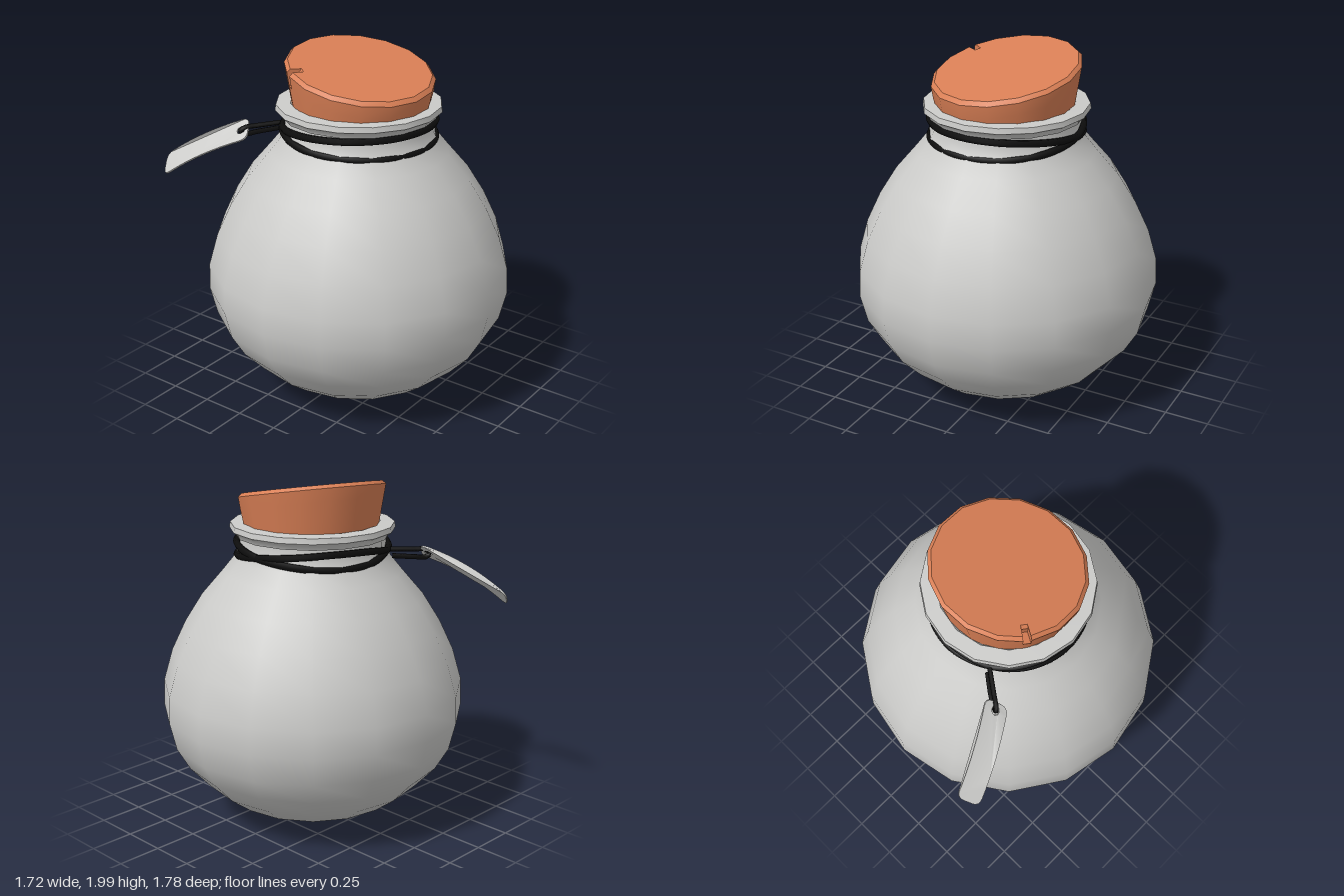
import * as THREE from 'three';
import { toCreasedNormals } from 'three/addons/utils/BufferGeometryUtils.js';

const CENTRE_Z = 0.04;

function material(name, color) {
  const m = new THREE.MeshStandardMaterial({ color });
  m.name = name;
  return m;
}

function part(name, geometry, mat) {
  const mesh = new THREE.Mesh(geometry, mat);
  mesh.name = name;
  return mesh;
}

// Turned part with sixteen sides around the jar's axis
function turned(profile) {
  const points = profile.map(([r, y]) => new THREE.Vector2(r, y));
  return toCreasedNormals(new THREE.LatheGeometry(points, 16).translate(0, 0, CENTRE_Z), 0.75);
}

// Tapered stopper with a sloping top and a small notch in its edge
function stopperGeometry() {
  const columns = [];
  for (let k = 0; k < 16; k++) {
    const deg = 8.5 + k * 22.5;
    if (k === 9) {
      columns.push([209.5, false], [209.5, true], [215.5, true], [215.5, false]);
    } else columns.push([deg, false]);
  }
  const slope = (x, z) => 1.91 + 0.07 * x - 0.2 * z;
  // radius, depth below the sloping top (null = flat base), notch cut in
  const rings = [
    [0, null, false], [0.355, null, false], [0.398, 0.09, false], [0.398, 0.09, true],
    [0.409, 0.02, true], [0.39, 0, true], [0, 0, true],
  ].map(([radius, depth, cut]) => columns.map(([deg, inner]) => {
    const a = THREE.MathUtils.degToRad(deg);
    const r = radius * (cut && inner ? 0.84 : 1);
    const x = r * Math.cos(a), z = r * Math.sin(a);
    return [x, depth === null ? 1.6 : slope(x, z) - depth, z];
  }));
  const position = [];
  for (let i = 0; i + 1 < rings.length; i++) {
    const low = rings[i], high = rings[i + 1];
    for (let j = 0; j < columns.length; j++) {
      const n = (j + 1) % columns.length;
      if (i < rings.length - 2) position.push(...low[j], ...high[j], ...low[n]);
      else position.push(...low[j], ...high[j], ...low[n]);
      if (i < rings.length - 2) position.push(...low[n], ...high[j], ...high[n]);
    }
  }
  const g = new THREE.BufferGeometry();
  g.setAttribute('position', new THREE.Float32BufferAttribute(position, 3));
  return toCreasedNormals(g.translate(0.003, 0, 0.045), 0.55);
}

// Thin arched tag with rounded corners and a hole near one end
function tagGeometry() {
  const half = 0.072, length = 0.54, c = 0.045, steps = 8;
  const shape = new THREE.Shape();
  shape.moveTo(-half + c, 0);
  shape.lineTo(half - c, 0);
  shape.quadraticCurveTo(half, 0, half, c);
  for (let i = 1; i <= steps; i++) shape.lineTo(half, c + (length - 2 * c) * i / steps);
  shape.quadraticCurveTo(half, length, half - c, length);
  shape.lineTo(-half + c, length);
  shape.quadraticCurveTo(-half, length, -half, length - c);
  for (let i = steps - 1; i >= 0; i--) shape.lineTo(-half, c + (length - 2 * c) * i / steps);
  shape.quadraticCurveTo(-half, 0, -half + c, 0);
  const hole = new THREE.Path();
  hole.absarc(0, 0.04, 0.024, 0, Math.PI * 2, true);
  shape.holes.push(hole);

  const g = new THREE.ExtrudeGeometry(shape, { depth: 0.01, bevelEnabled: false, curveSegments: 4 });
  const p = g.attributes.position;
  for (let i = 0; i < p.count; i++) {
    const t = p.getY(i) / length;
    p.setZ(i, p.getZ(i) - 0.005 + 0.12 * t * (1 - t));
  }
  const across = new THREE.Vector3(0.69, 0.58, -0.41);
  const along = new THREE.Vector3(-0.4, -0.45, -0.8);
  const out = across.clone().cross(along).normalize();
  g.applyMatrix4(new THREE.Matrix4().makeBasis(across, along, out).setPosition(-0.38, 1.57, -0.43));
  return toCreasedNormals(g, 0.6);
}

function cordGeometry(points, closed, segments) {
  const curve = new THREE.CatmullRomCurve3(points.map((p) => new THREE.Vector3(...p)), closed);
  return new THREE.TubeGeometry(curve, segments, closed ? 0.02 : 0.014, 6, closed);
}

// One loop round the neck; sign swaps which strand lies on top
function neckLoop(sign) {
  const lift = [[0, 0], [30, 0.028], [60, 0.047], [90, 0.055], [120, 0.054], [150, 0.05],
    [180, 0.04], [210, 0.022], [238, 0], [270, -0.035], [300, -0.042], [330, -0.025]];
  return cordGeometry(lift.map(([deg, h]) => {
    const a = THREE.MathUtils.degToRad(deg);
    return [0.42 * Math.cos(a), 1.58 + sign * h, CENTRE_Z + 0.42 * Math.sin(a)];
  }), true, 64);
}

export function createModel() {
  const jarGrey = material('jar grey', 0xcbcbc9);
  const corkOrange = material('cork orange', 0xd97f55);
  const cordBlack = material('cord black', 0x0d0d0d);

  const model = new THREE.Group();
  model.name = 'corkedJar';

  // Round body and neck
  model.add(part('jarBody', turned([
    [0, 0.005], [0.18, 0.02], [0.35, 0.065], [0.5, 0.135], [0.63, 0.235], [0.745, 0.36],
    [0.82, 0.49], [0.858, 0.65], [0.852, 0.8], [0.8, 0.98], [0.72, 1.15], [0.62, 1.31],
    [0.5, 1.45], [0.435, 1.53], [0.408, 1.59], [0.405, 1.66],
  ]), jarGrey));

  // Lip of the neck
  model.add(part('jarRim', turned([
    [0.4, 1.65], [0.425, 1.65], [0.437, 1.675], [0.46, 1.69], [0.455, 1.72],
    [0.375, 1.725], [0.36, 1.7], [0.355, 1.55],
  ]), jarGrey));

  model.add(part('stopper', stopperGeometry(), corkOrange));

  // Cord round the neck and its tie to the tag
  const cord = new THREE.Group();
  cord.name = 'cord';
  cord.add(part('neckLoopUpper', neckLoop(1), cordBlack));
  cord.add(part('neckLoopLower', neckLoop(-1), cordBlack));
  cord.add(part('tagTie', cordGeometry([
    [-0.23, 1.585, -0.33], [-0.34, 1.58, -0.41], [-0.395, 1.575, -0.45],
    [-0.41, 1.553, -0.465], [-0.39, 1.535, -0.455], [-0.33, 1.54, -0.42], [-0.23, 1.55, -0.345],
  ], false, 24), cordBlack));
  model.add(cord);

  model.add(part('tag', tagGeometry(), jarGrey));
  return model;
}
